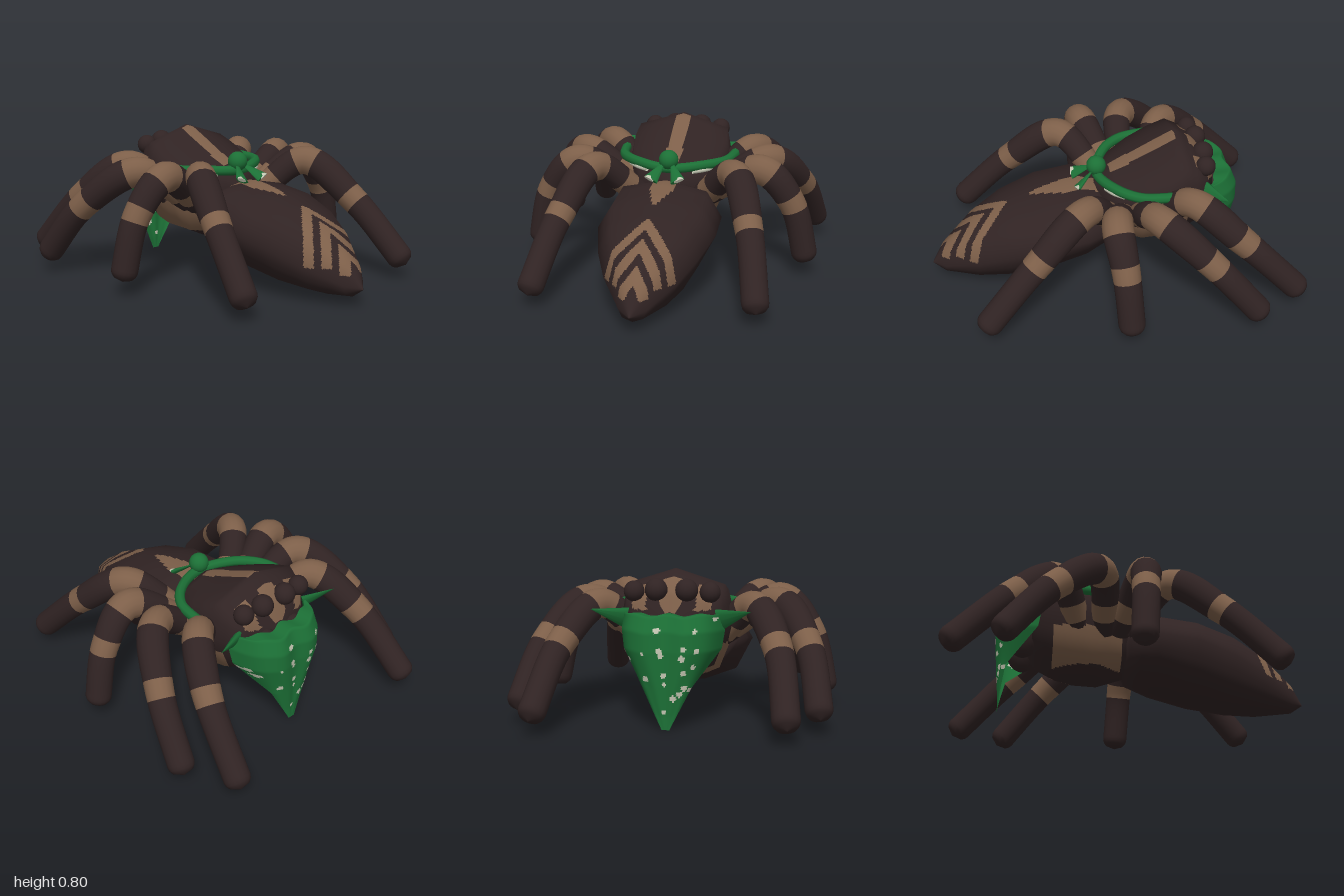
import * as THREE from 'three';

const mat = (name, color, side = THREE.FrontSide) => {
  const m = new THREE.MeshStandardMaterial({ color, side });
  m.name = name;
  return m;
};

// Grid surface: point(u, v) gives positions, paint(p, u) picks a material index per cell
function loft(point, nu, nv, closed, paint) {
  const pos = [], faces = [[], []], cols = closed ? nv : nv + 1;
  for (let i = 0; i <= nu; i++)
    for (let j = 0; j < cols; j++) pos.push(...point(i / nu, j / nv).toArray());
  for (let i = 0; i < nu; i++)
    for (let j = 0; j < nv; j++) {
      const k = (j + 1) % cols;
      const a = i * cols + j, b = i * cols + k, c = a + cols, d = b + cols;
      const u = (i + 0.5) / nu;
      faces[paint(point(u, (j + 0.5) / nv), u) ? 1 : 0].push(a, b, c, b, d, c);
    }
  const g = new THREE.BufferGeometry();
  g.setAttribute('position', new THREE.Float32BufferAttribute(pos, 3));
  g.setIndex(faces[0].concat(faces[1]));
  g.addGroup(0, faces[0].length, 0);
  g.addGroup(faces[0].length, faces[1].length, 1);
  g.computeVertexNormals();
  return g;
}

// Linear lookup in rows keyed by their first value
function sample(rows, key) {
  let i = 0;
  while (i < rows.length - 2 && key > rows[i + 1][0]) i++;
  const t = (key - rows[i][0]) / (rows[i + 1][0] - rows[i][0]);
  return rows[i].map((a, k) => a + (rows[i + 1][k] - a) * t);
}

// Eight-sided body shell from sections: [z, top, widest height, bottom, half width]
function bodyShell(rows, [cx, cy], nu, nv, paint) {
  const z0 = rows[0][0], z1 = rows[rows.length - 1][0], q = Math.SQRT1_2;
  const ring = [[1, 0], [cx, cy], [0, 1], [-cx, cy], [-1, 0], [-q, -q], [0, -1], [q, -q]];
  const point = (u, v) => {
    const [z, top, mid, bottom, w] = sample(rows, z0 + (z1 - z0) * u);
    const k = (v - Math.floor(v)) * 8, i = Math.floor(k) % 8, t = k - Math.floor(k);
    const [a, b] = [ring[i], ring[(i + 1) % 8]];
    const x = a[0] + (b[0] - a[0]) * t, y = a[1] + (b[1] - a[1]) * t;
    return new THREE.Vector3(w * x, mid + y * (y > 0 ? top - mid : mid - bottom), z);
  };
  const g = loft(point, nu, nv, true, paint);
  // Soft normals taken over a wide step, so the facets shade smoothly
  const h = 0.06, normal = g.attributes.normal;
  for (let n = 0; n < normal.count; n++) {
    const u = Math.min(0.97, Math.max(0.03, Math.floor(n / nv) / nu)), v = (n % nv) / nv;
    const du = point(Math.min(1, u + h), v).sub(point(Math.max(0, u - h), v));
    const dv = point(u, v + h).sub(point(u, v - h));
    const d = dv.cross(du).normalize();
    normal.setXYZ(n, d.x, d.y, d.z);
  }
  return g;
}

const ABDOMEN = [
  [-0.06, 0.40, 0.35, 0.28, 0], [0, 0.50, 0.35, 0.20, 0.24], [0.15, 0.55, 0.36, 0.14, 0.32],
  [0.37, 0.52, 0.33, 0.07, 0.325], [0.58, 0.46, 0.27, 0.03, 0.27], [0.75, 0.37, 0.20, 0.025, 0.195],
  [0.93, 0.22, 0.12, 0.05, 0.075], [1, 0.10, 0.10, 0.10, 0]];
const THORAX = [
  [-0.59, 0.55, 0.50, 0.45, 0], [-0.575, 0.64, 0.50, 0.36, 0.19], [-0.50, 0.74, 0.52, 0.25, 0.27],
  [-0.40, 0.805, 0.51, 0.19, 0.30], [-0.30, 0.755, 0.49, 0.165, 0.31], [-0.17, 0.69, 0.46, 0.16, 0.29],
  [0, 0.61, 0.44, 0.22, 0.20], [0.08, 0.50, 0.43, 0.35, 0]];

// Legs: base, knee, band and foot tip
const LEGS = [
  [[0.20, 0.42, -0.28], [0.41, 0.61, -0.40], [0.56, 0.43, -0.64], [0.64, 0.08, -0.98]],
  [[0.20, 0.42, -0.14], [0.52, 0.61, -0.19], [0.70, 0.42, -0.43], [0.785, 0.08, -0.715]],
  [[0.20, 0.42, -0.07], [0.52, 0.61, 0.04], [0.69, 0.43, 0.03], [0.78, 0.08, 0.01]],
  [[0.18, 0.42, 0.00], [0.39, 0.62, 0.19], [0.51, 0.42, 0.46], [0.60, 0.08, 0.785]]];

// Round-ended limb with pale thigh ring, knee and shin band
function limb(points) {
  const [base, knee, band] = points;
  const thigh = base.clone().lerp(knee, 0.35);
  const curve = new THREE.CatmullRomCurve3(points);
  const n = 60, e = 0.06 / curve.getLength();
  const frames = curve.computeFrenetFrames(n, false);
  return loft((u, v) => {
    const i = Math.min(n, Math.round(u * n)), a = v * Math.PI * 2;
    const over = Math.max(0, (u - 1 + e) / e);
    const swell = 0.072 + 0.012 * Math.exp(-(((u - 0.4) / 0.2) ** 2));
    const r = swell * Math.sqrt(Math.max(0, 1 - over * over));
    return curve.getPointAt(u)
      .addScaledVector(frames.normals[i], r * Math.cos(a))
      .addScaledVector(frames.binormals[i], r * Math.sin(a));
  }, n, 16, true, (p, u) => {
    const c = curve.getPointAt(u);
    return c.distanceTo(knee) < 0.062 || c.distanceTo(band) < 0.045 || c.distanceTo(thigh) < 0.048;
  });
}

// Face scarf: [drop, y, half width, centre z, edge z]
const SCARF = [
  [0, 0.58, 0.23, -0.60, -0.53], [0.12, 0.585, 0.25, -0.69, -0.52], [0.25, 0.50, 0.275, -0.725, -0.48],
  [0.42, 0.40, 0.26, -0.73, -0.50], [0.7, 0.22, 0.13, -0.72, -0.67], [0.9, 0.07, 0.055, -0.71, -0.70],
  [1, 0, 0.02, -0.71, -0.71]];

export function createModel() {
  const dark = mat('dark brown', 0x302323);
  const tan = mat('tan', 0x7d5f49);
  const green = mat('green cloth', 0x1c7036, THREE.DoubleSide);
  const cream = mat('cream spots', 0xc4c6b2, THREE.DoubleSide);
  const model = new THREE.Group();
  const add = (name, geo, material) => {
    const m = new THREE.Mesh(geo, material);
    m.name = name;
    model.add(m);
    return m;
  };

  // Abdomen with a spearhead and three chevrons
  add('abdomen', bodyShell(ABDOMEN, [0.74, 0.74], 180, 144, (p) => {
    const x = Math.abs(p.x), t = p.z - 1.1 * x;
    if (p.y > 0.4 && p.z < 0.43) return x < Math.min(0.063, (0.47 - p.z) * 0.28);
    if (t > 0.82) return t < 0.91 && p.y > 0.17;
    return p.y > 0.2 && x < 0.195 && ((t > 0.55 && t < 0.63) || (t > 0.685 && t < 0.765 && x < 0.14));
  }), [dark, tan]);

  // Head and thorax with back stripe, pale brow patches and flanks
  add('thorax', bodyShell(THORAX, [0.87, 0.72], 100, 144, (p) => {
    const x = Math.abs(p.x);
    if (p.y > 0.56 && p.z > -0.39 && p.z < -0.02) return x < 0.045;
    if (p.z < -0.46 && p.y > 0.6) return x < 0.06 || (x > 0.13 && x < 0.21);
    return p.y > 0.23 && p.y < 0.41 && p.z > -0.42 && p.z < -0.04;
  }), [dark, tan]);

  // Eyes in a row, jaws behind the scarf
  for (const s of [-1, 1]) {
    for (const [x, y, z, r] of [[0.08, 0.70, -0.535, 0.06], [0.20, 0.69, -0.52, 0.055]]) {
      const eye = add('eye', new THREE.SphereGeometry(r, 16, 12), dark);
      eye.position.set(s * x, y, z);
    }
    const jaw = add('jaw', new THREE.SphereGeometry(1, 16, 12).scale(0.09, 0.15, 0.1), dark);
    jaw.position.set(s * 0.1, 0.43, -0.585);
  }

  // Eight legs
  for (const s of [-1, 1])
    for (const pts of LEGS)
      add(s > 0 ? 'leftLeg' : 'rightLeg',
        limb(pts.map(([x, y, z]) => new THREE.Vector3(s * x, y, z))), [dark, tan]);

  // Spotted face scarf with soft folds
  let seed = 7;
  const rnd = () => (seed = (seed * 16807) % 2147483647) / 2147483647;
  const spots = Array.from({ length: 30 }, () => [rnd() * 0.56 - 0.28, rnd() * 0.56, 0.009 + rnd() * 0.008]);
  add('scarf', loft((u, v) => {
    const [, y, w, zc, ze] = sample(SCARF, u);
    const s = v * 2 - 1, fold = 0.012 * Math.cos(s * 9) * (1 - u);
    return new THREE.Vector3(w * s, y + fold * 0.5, zc + (ze - zc) * s ** 6 + fold);
  }, 70, 70, false, (p) => spots.some(([x, y, r]) => Math.hypot(p.x - x, p.y - y) < r)), [green, cream]);

  // Scarf cord round the back, with pale patches on its lower rim
  const cordTube = (name, pts, r, material) => add(name, new THREE.TubeGeometry(
    new THREE.CatmullRomCurve3(pts.map((p) => new THREE.Vector3(...p))), 50, r, 8), material);
  const half = [[0.325, 0.60, -0.33], [0.32, 0.60, -0.25], [0.295, 0.60, -0.14], [0.20, 0.60, -0.03]];
  cordTube('scarfCord', [...half, [0, 0.59, 0.05], ...half.map(([x, y, z]) => [-x, y, z]).reverse()], 0.028, green);
  for (const s of [-1, 1])
    cordTube('cordPatch', [[s * 0.24, 0.578, -0.06], [s * 0.19, 0.575, -0.01], [s * 0.13, 0.57, 0.022]], 0.014, cream);
  const knot = add('knot', new THREE.SphereGeometry(0.055, 16, 12), green);
  knot.position.set(0, 0.64, 0.05);

  // Flat cloth ends, from a narrow point to a wide end
  const flap = (name, from, to, width, material) => {
    const a = new THREE.Vector3(...from), b = new THREE.Vector3(...to), d = b.clone().sub(a);
    const geo = new THREE.ConeGeometry(width, d.length(), 10).scale(1, 1, 0.35);
    const f = add(name, geo, material);
    f.position.copy(a).add(b).multiplyScalar(0.5);
    f.quaternion.setFromUnitVectors(new THREE.Vector3(0, 1, 0), d.normalize().negate());
  };
  for (const s of [-1, 1]) {
    flap('knotTail', [s * 0.01, 0.64, 0.05], [s * 0.075, 0.555, 0.17], 0.042, green);
    flap('tailTip', [s * 0.062, 0.59, 0.13], [s * 0.085, 0.56, 0.178], 0.03, cream);
    flap('scarfCorner', [s * 0.42, 0.60, -0.59], [s * 0.25, 0.55, -0.51], 0.06, green);
  }
  return model;
}
